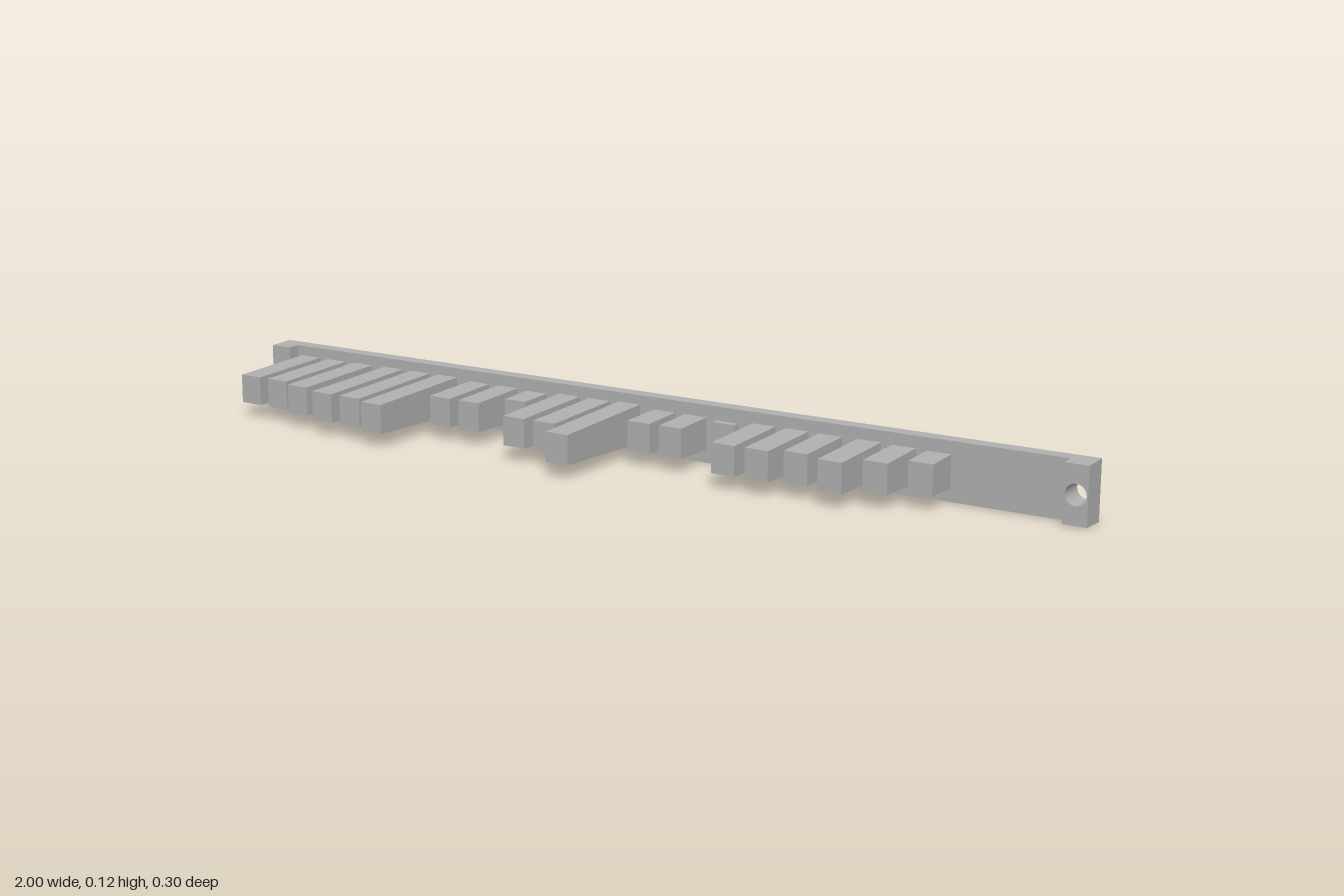
import * as THREE from 'three';

const MID = 0.0625;      // height of the centre line
const DRAFT = 0.036;     // slope of the top and bottom faces
const BACK = -0.15;      // rear face of the bar
const FACE = -0.12;      // front face of the bar
const BLOCK_FACE = -0.091;

// Box from z0 to z1 that gets taller towards the rear, halfH is the half height at z1
function draftedBox(width, halfH, z0, z1) {
  const geo = new THREE.BoxGeometry(width, 2, z1 - z0).toNonIndexed();
  geo.translate(0, 0, (z0 + z1) / 2);
  const p = geo.attributes.position;
  for (let i = 0; i < p.count; i++) {
    p.setY(i, Math.sign(p.getY(i)) * (halfH + DRAFT * (z1 - p.getZ(i))));
  }
  geo.computeVertexNormals();
  return geo;
}

// End block with a round screw hole right through it
function endBlockGeometry(width, halfH, z0, z1) {
  const w = width / 2;
  const shape = new THREE.Shape();
  shape.moveTo(-w, -halfH).lineTo(w, -halfH).lineTo(w, halfH).lineTo(-w, halfH).closePath();
  const hole = new THREE.Path();
  hole.absarc(0, 0, 0.022, 0, Math.PI * 2, true);
  shape.holes.push(hole);
  const geo = new THREE.ExtrudeGeometry(shape, { depth: z1 - z0, bevelEnabled: false, curveSegments: 16 });
  geo.translate(0, 0, z0);
  const p = geo.attributes.position;
  for (let i = 0; i < p.count; i++) {
    const y = p.getY(i);
    if (Math.abs(y) > 0.05) p.setY(i, Math.sign(y) * (halfH + DRAFT * (z1 - p.getZ(i))));
  }
  geo.computeVertexNormals();
  return geo;
}

export function createModel() {
  const model = new THREE.Group();
  model.name = 'toothedBar';
  const grey = new THREE.MeshStandardMaterial({ color: 0xb0b0b0 });
  grey.name = 'grey';

  const add = (name, geo, x) => {
    const mesh = new THREE.Mesh(geo, grey);
    mesh.name = name;
    mesh.position.set(x, MID, 0);
    model.add(mesh);
  };

  // Backing bar between the end blocks
  add('bar', draftedBox(1.9, MID - DRAFT * (FACE - BACK), BACK, FACE), 0);

  // Mounting blocks at both ends
  const block = endBlockGeometry(0.05, MID - DRAFT * (BLOCK_FACE - BACK), BACK, BLOCK_FACE);
  add('leftEndBlock', block, 0.975);
  add('rightEndBlock', block, -0.975);

  // Teeth in groups of three, each shortened by a number of equal steps
  const steps = [
    [3, 3, 2], [1, 1, 0], [6, 6, 9], [3, 3, 0], [8, 8, 12], [5, 5, 6], [5, 7, 9],
  ];
  steps.forEach((group, g) => group.forEach((n, i) => {
    const tip = 0.15 - n * 0.0212;
    add(`tooth${g * 3 + i + 1}`, draftedBox(0.053, 0.0315, FACE - 0.005, tip), -0.911 + g * 0.2393 + i * 0.0762);
  }));

  return model;
}
